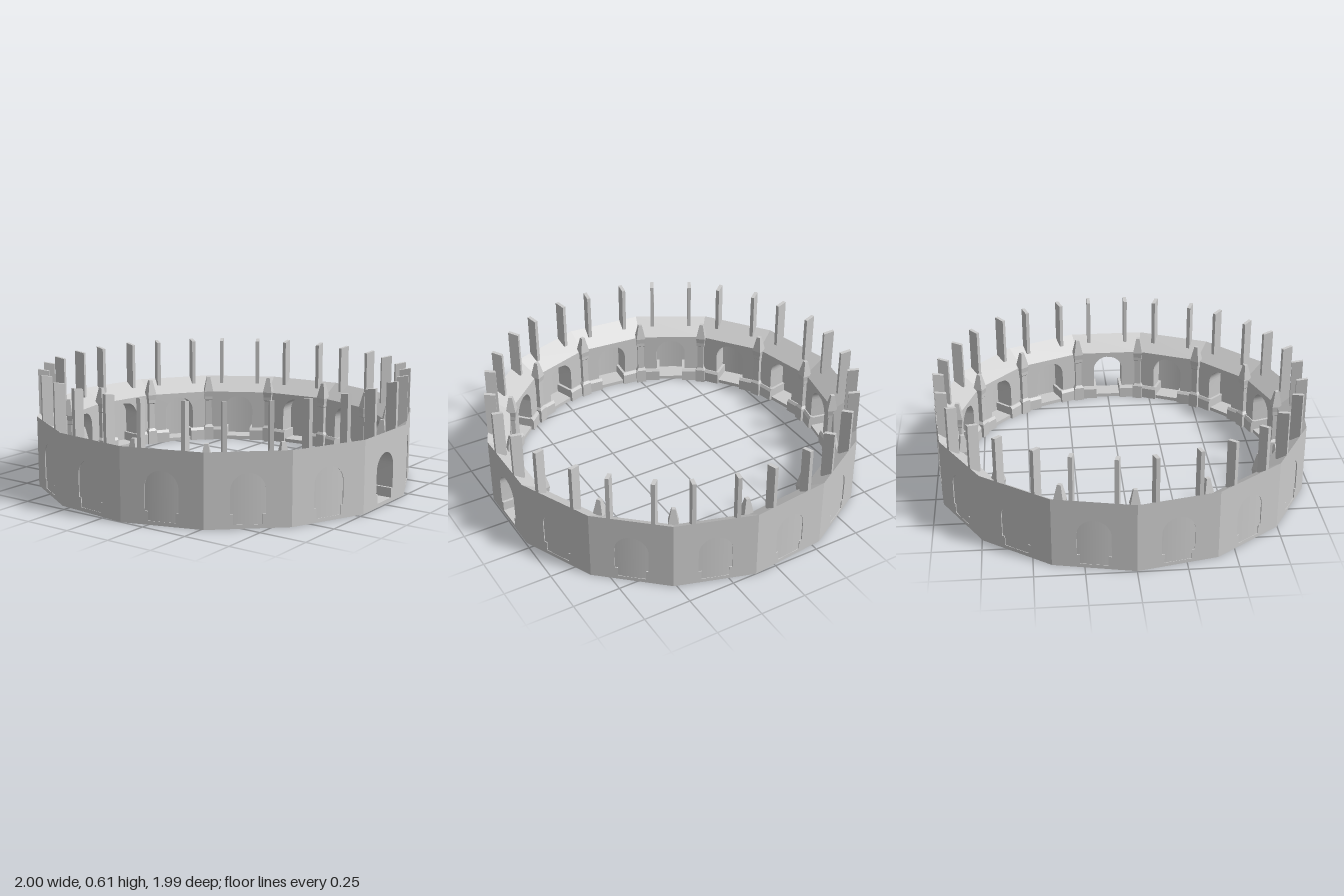
import * as THREE from 'three';
import { toCreasedNormals } from 'three/addons/utils/BufferGeometryUtils.js';

const SIDES = 15;
const STEP = (Math.PI * 2) / SIDES;
const OUTER = 0.9835;          // distance from centre to a flat outer face
const INNER = 0.872;           // distance from centre to a flat inner face
const DEPTH = OUTER - INNER;
const HALF = OUTER * Math.tan(STEP / 2);
const TOP = 0.374, INNER_TOP = 0.295;

const mat = new THREE.MeshStandardMaterial({ color: 0xcccccc });
const flat = new THREE.MeshStandardMaterial({ color: 0xcccccc, flatShading: true });
const thin = new THREE.MeshStandardMaterial({ color: 0xcccccc, side: THREE.DoubleSide });

function add(parent, name, geometry, material = mat) {
  const mesh = new THREE.Mesh(geometry, material);
  mesh.name = name;
  parent.add(mesh);
  return mesh;
}

// Wall segment: arched opening, mitred ends, top sloping down to the inside
function wallGeometry() {
  const s = new THREE.Shape();
  s.moveTo(-HALF, 0).lineTo(HALF, 0).lineTo(HALF, TOP).lineTo(-HALF, TOP).closePath();
  const arch = new THREE.Path();
  arch.moveTo(-0.07, 0.02).lineTo(-0.07, 0.07).lineTo(-0.085, 0.07).lineTo(-0.085, 0.185);
  arch.absarc(0, 0.185, 0.085, Math.PI, 0, true);
  arch.lineTo(0.085, 0.07).lineTo(0.07, 0.07).lineTo(0.07, 0.02).closePath();
  s.holes.push(arch);
  const g = new THREE.ExtrudeGeometry(s, { depth: DEPTH, bevelEnabled: false, curveSegments: 20 });
  g.translate(0, 0, INNER);
  const p = g.attributes.position;
  for (let i = 0; i < p.count; i++) {
    if (Math.abs(p.getX(i)) > 0.15) p.setX(i, p.getX(i) * p.getZ(i) / OUTER);
    if (p.getY(i) > 0.33 && p.getZ(i) < INNER + 0.01) p.setY(i, INNER_TOP);
  }
  return toCreasedNormals(g, 0.5);
}

// Plinth block with a chamfered top edge, from the opening to the corner
function plinthGeometry() {
  const len = INNER * Math.tan(STEP / 2) - 0.07;
  const s = new THREE.Shape();
  s.moveTo(0, 0).lineTo(0.022, 0).lineTo(0.022, 0.06).lineTo(0.012, 0.075).lineTo(0, 0.075).closePath();
  const g = new THREE.ExtrudeGeometry(s, { depth: len, bevelEnabled: false });
  g.rotateY(Math.PI / 2);
  return g.translate(-len / 2, 0, INNER + 0.006);
}

// Upright fin: thin slab with its top falling slightly inward
function finGeometry() {
  const g = new THREE.BoxGeometry(0.02, 0.27, 0.058);
  g.translate(0, 0.475, OUTER - 0.029);
  const p = g.attributes.position;
  for (let i = 0; i < p.count; i++) {
    if (p.getY(i) > 0.5 && p.getZ(i) < OUTER - 0.03) p.setY(i, 0.6);
  }
  return g;
}

// Square pillar with base, shaft and pointed cap
function pillarGeometry() {
  const profile = [
    [0, 0], [0.028, 0], [0.028, 0.08], [0.018, 0.095], [0.018, 0.245],
    [0.023, 0.25], [0.023, 0.27], [0.027, 0.3], [0.01, 0.388], [0, 0.388],
  ].map(([half, y]) => new THREE.Vector2(half * Math.SQRT2, y));
  return new THREE.LatheGeometry(profile, 4).rotateY(Math.PI / 4);
}

export function createModel() {
  const root = new THREE.Group();
  root.name = 'arena';
  const ring = new THREE.Group();
  ring.name = 'ring';
  ring.position.z = 0.011;
  root.add(ring);

  const wall = wallGeometry();
  const plinth = plinthGeometry();
  const fin = finGeometry();
  const pillar = pillarGeometry();

  for (let i = 0; i < SIDES; i++) {
    const bay = new THREE.Group();
    bay.name = 'bay' + i;
    bay.rotation.y = i * STEP;
    ring.add(bay);
    add(bay, 'wall', wall);
    const plinthX = (0.07 + INNER * Math.tan(STEP / 2)) / 2;
    for (const side of [-1, 1]) {
      add(bay, 'fin', fin).position.x = side * 0.11;
      add(bay, 'plinth', plinth, flat).position.x = side * plinthX;
    }
    const corner = new THREE.Group();
    corner.name = 'corner';
    corner.rotation.y = STEP / 2;
    bay.add(corner);
    add(corner, 'pillar', pillar, flat).position.z = 0.882;
  }

  // Round backing closes every arch but the front gateway
  const backing = new THREE.CylinderGeometry(
    0.982, 0.982, 0.28, 168, 1, true, STEP / 2, Math.PI * 2 - STEP);
  add(ring, 'nicheBacking', backing.translate(0, 0.16, 0), thin);

  return root;
}
